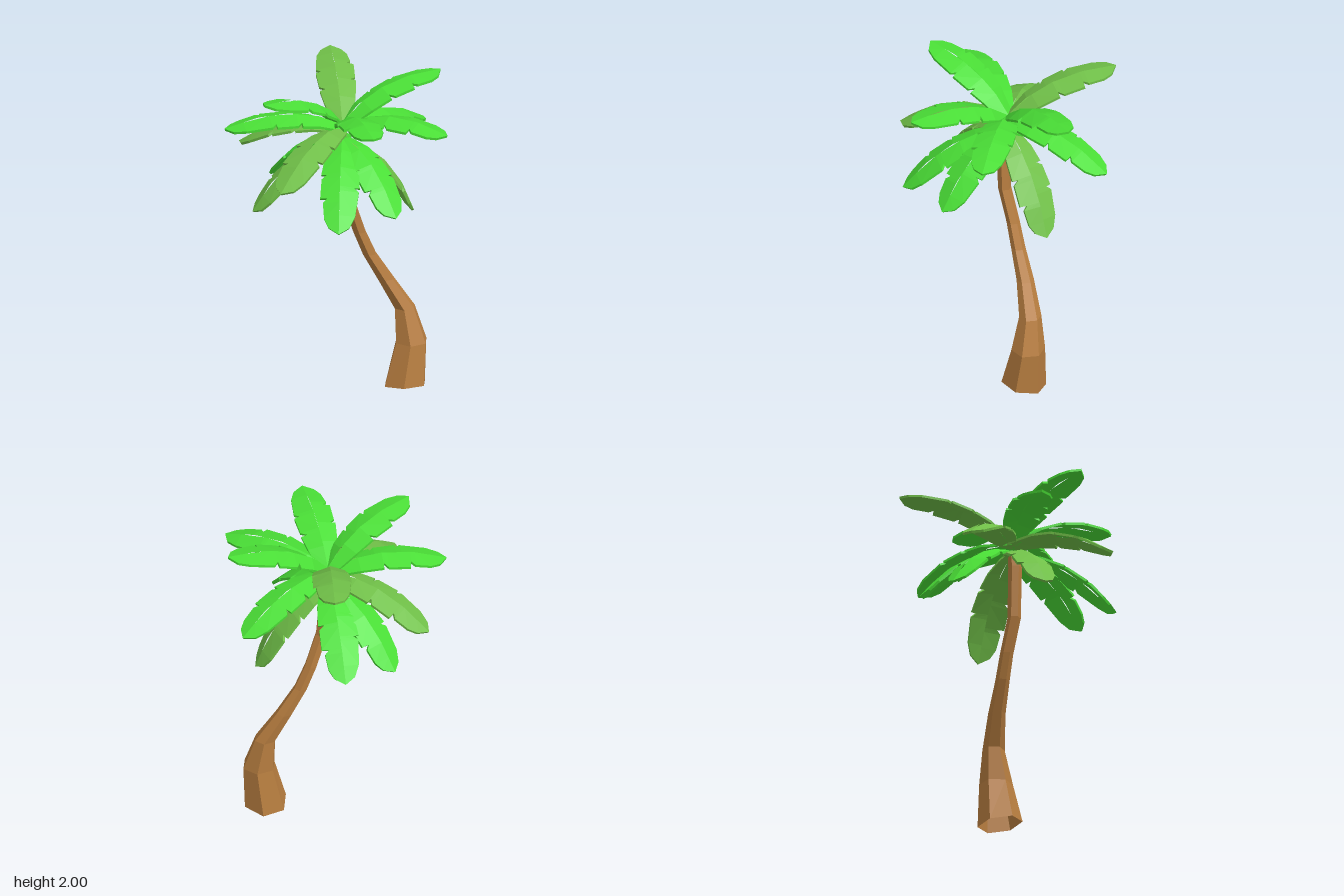
import * as THREE from 'three';

const material = (color, side = THREE.FrontSide) =>
  new THREE.MeshStandardMaterial({ color, side, flatShading: true });

// Trunk rings from bottom to top: centre x, y, z and radius
const RINGS = [
  [0.303, 0.026, -0.22, 0.135], [0.325, 0.3, -0.257, 0.102], [0.282, 0.51, -0.253, 0.067],
  [0.19, 0.7, -0.185, 0.052], [0.12, 0.87, -0.113, 0.043], [0.08, 1.02, -0.065, 0.04],
  [0.047, 1.23, 0.002, 0.04], [0.025, 1.55, 0.02, 0.041], [0.015, 1.62, 0.015, 0.035],
];

// Six-sided hollow trunk: an open cylinder whose rows are moved onto the rings
function createTrunk() {
  const rows = RINGS.length - 1;
  const geo = new THREE.CylinderGeometry(1, 1, 1, 6, rows, true).rotateY(Math.PI / 2);
  const p = geo.attributes.position;
  for (let i = 0; i < p.count; i++) {
    const row = Math.round((p.getY(i) + 0.5) * rows);
    const [x, y, z, r] = RINGS[row];
    const dx = p.getX(i) * r, dz = p.getZ(i) * r;
    const tilt = row === 0 ? 0.12 * (dx + dz) : 0; // slanted foot
    p.setXYZ(i, x + dx, y + tilt, z + dz);
  }
  const flat = geo.toNonIndexed();
  flat.computeVertexNormals();
  const mesh = new THREE.Mesh(flat, material(0xb87e40, THREE.DoubleSide));
  mesh.name = 'trunk';
  return mesh;
}

// Half-leaf outlines: position along the rib, width; the sudden dips are tears
const EDGES = [
  [1, [[0, 0.025], [0.1, 0.062], [0.3, 0.098], [0.5, 0.115], [0.505, 0.08], [0.54, 0.112],
    [0.72, 0.117], [0.725, 0.075], [0.76, 0.1], [0.88, 0.09], [0.95, 0.062], [1, 0]]],
  [-1, [[0, 0.025], [0.1, 0.062], [0.25, 0.092], [0.4, 0.11], [0.405, 0.075], [0.44, 0.11],
    [0.62, 0.118], [0.625, 0.085], [0.66, 0.113], [0.86, 0.095], [0.95, 0.062], [1, 0]]],
];
const THICK = 0.015, SEGMENTS = 4;

// One arched, roof-folded leaf from the crown to its tip
function createLeaf([x, y, z, color]) {
  const up = new THREE.Vector3(0, 1, 0);
  const tip = new THREE.Vector3(x, y, z);
  // The root lies a little past the crown's centre so that the leaves overlap
  const start = new THREE.Vector3(x, 0, z).setLength(-0.025);
  start.y = y > 1.4 ? 1.705 : 1.65;
  const chord = tip.clone().sub(start).normalize();
  const side = chord.clone().cross(up).normalize();
  const bend = side.clone().cross(chord);
  const control = start.clone().lerp(tip, 0.45).addScaledVector(bend, 0.18);
  const curve = new THREE.QuadraticBezierCurve3(start, control, tip);
  const ribs = curve.getPoints(SEGMENTS);
  const normals = ribs.map((_, i) => side.clone().cross(curve.getTangent(i / SEGMENTS)));

  // Point on the leaf: t along the rib, w sideways, d below the top surface
  const point = (t, w, d) => {
    const i = Math.min(Math.floor(t * SEGMENTS), SEGMENTS - 1), f = t * SEGMENTS - i;
    const n = normals[i].clone().lerp(normals[i + 1], f).normalize();
    const fold = 0.38 - 0.2 * t; // flatter towards the tip
    return ribs[i].clone().lerp(ribs[i + 1], f)
      .addScaledVector(side, w).addScaledVector(n, -fold * Math.abs(w) - d);
  };

  const verts = [];
  const quad = (flip, a, b, c, d) => {
    const order = flip ? [a, c, b, a, d, c] : [a, b, c, a, c, d];
    order.forEach((v) => verts.push(v.x, v.y, v.z));
  };
  for (const [s, edge] of EDGES) {
    for (let i = 0; i < edge.length - 1; i++) {
      const [t0, w0] = edge[i], [t1, w1] = edge[i + 1];
      const corners = [[t0, 0], [t0, s * w0], [t1, s * w1], [t1, 0]];
      const [a0, b0, b1, a1] = corners.map(([t, w]) => point(t, w, 0));
      const [c0, d0, d1, c1] = corners.map(([t, w]) => point(t, w, THICK));
      quad(s < 0, a0, b0, b1, a1); // top
      quad(s < 0, c0, c1, d1, d0); // underside
      quad(s < 0, b0, d0, d1, b1); // rim
      if (i === 0) quad(s < 0, a0, c0, d0, b0); // root end
    }
  }
  const geo = new THREE.BufferGeometry();
  geo.setAttribute('position', new THREE.Float32BufferAttribute(verts, 3));
  geo.computeVertexNormals();
  return new THREE.Mesh(geo, material(color));
}

const GREEN = 0x4adf36, OLIVE = 0x70c048;

// Leaf tips and colours, upper to lower
const LEAVES = [
  [-0.19, 2, 0.57, GREEN], [0.36, 1.97, -0.53, GREEN], [-0.42, 1.95, -0.53, OLIVE],
  [0.49, 1.88, 0.43, GREEN], [-0.53, 1.74, 0.48, GREEN],
  [0.68, 1.76, -0.1, GREEN], [0.14, 1.56, -0.69, GREEN], [0, 1.51, 0.69, OLIVE],
  [-0.68, 1.49, 0.08, OLIVE], [0.52, 1.3, 0.22, GREEN],
  [0.32, 1.27, 0.55, GREEN], [-0.41, 1.27, -0.4, GREEN], [-0.56, 1.25, -0.1, GREEN],
  [-0.37, 1.22, 0.42, OLIVE], [0.28, 1.1, -0.36, OLIVE],
];

export function createModel() {
  const model = new THREE.Group();
  model.name = 'palmTree';
  model.add(createTrunk());
  const crown = new THREE.Group();
  crown.name = 'crown';
  LEAVES.forEach((leaf, i) => {
    const mesh = createLeaf(leaf);
    mesh.name = `leaf${i + 1}`;
    crown.add(mesh);
  });
  model.add(crown);
  return model;
}
